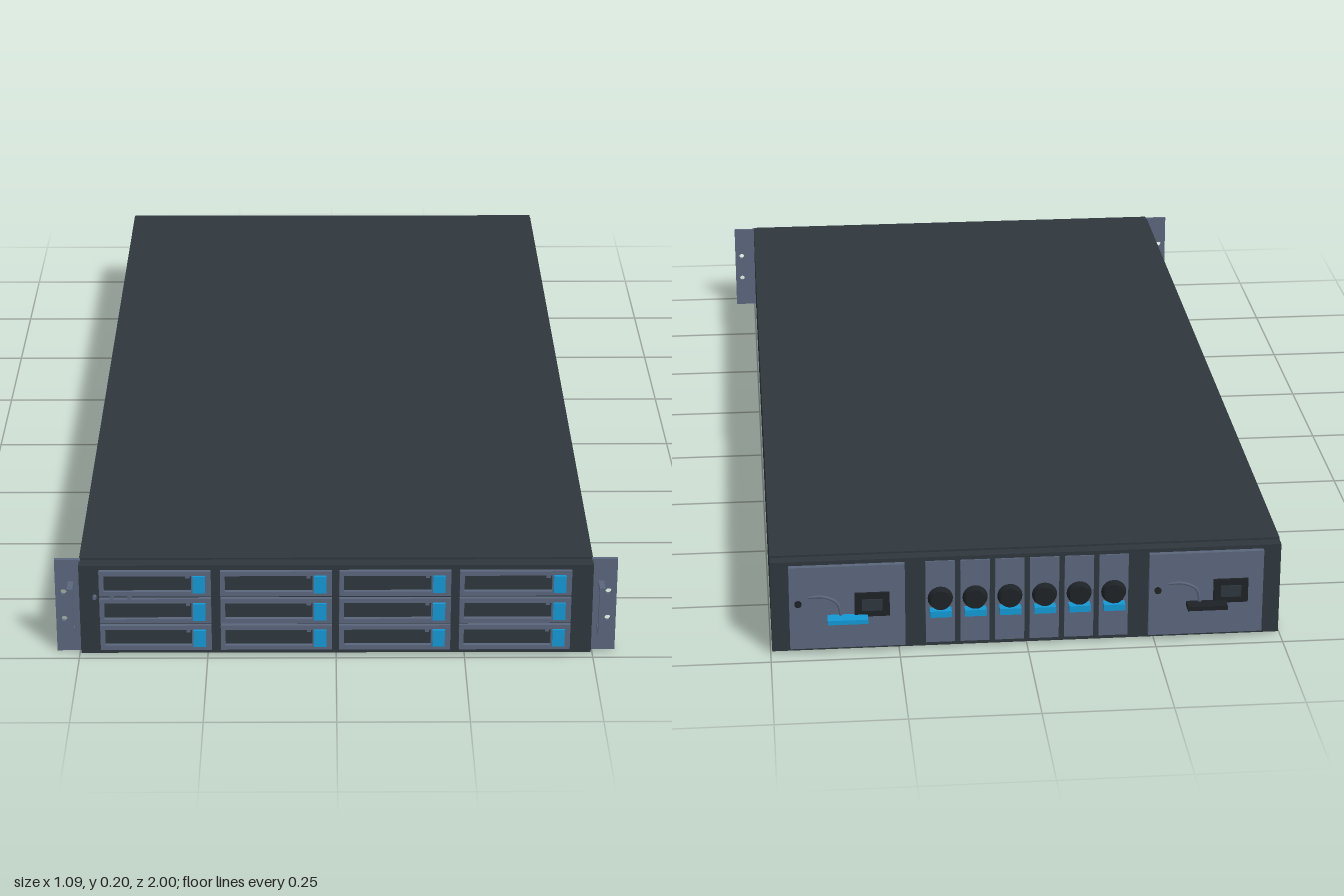
import * as THREE from 'three';

const mat = (name, color) => {
  const m = new THREE.MeshStandardMaterial({ color });
  m.name = name;
  return m;
};

export function createModel() {
  const dark = mat('charcoal steel', 0x2e373d);
  const grey = mat('slate grey', 0x5b667c);
  const blue = mat('latch blue', 0x1397d3);
  const black = mat('black plastic', 0x1d2226);

  const model = new THREE.Group();
  model.name = 'rackServer';

  const add = (parent, name, geometry, material, x = 0, y = 0, z = 0) => {
    const mesh = new THREE.Mesh(geometry, material);
    mesh.name = name;
    mesh.position.set(x, y, z);
    parent.add(mesh);
    return mesh;
  };
  const box = (parent, name, material, w, h, d, x, y, z) =>
    add(parent, name, new THREE.BoxGeometry(w, h, d), material, x, y, z);
  const group = (name, x, y, z) => {
    const g = new THREE.Group();
    g.name = name;
    g.position.set(x, y, z);
    model.add(g);
    return g;
  };
  const rect = (T, w, h) => new T([
    new THREE.Vector2(-w / 2, -h / 2), new THREE.Vector2(w / 2, -h / 2),
    new THREE.Vector2(w / 2, h / 2), new THREE.Vector2(-w / 2, h / 2)]);
  const extrude = (shape, depth) =>
    new THREE.ExtrudeGeometry(shape, { depth, bevelEnabled: false, curveSegments: 10 });

  // Case, with slightly lower front and rear faces
  box(model, 'chassis', dark, 0.994, 0.198, 1.90, 0, 0.099, 0.01);
  box(model, 'frontBezel', dark, 0.994, 0.19, 0.03, 0, 0.099, 0.97);
  box(model, 'rearPanel', dark, 0.994, 0.19, 0.025, 0, 0.099, -0.95);

  // Drive trays: four columns of three
  const frame = rect(THREE.Shape, 0.216, 0.053);
  const opening = new THREE.Path();
  opening.moveTo(-0.099, -0.017);
  opening.lineTo(-0.099, 0.017);
  opening.lineTo(0.070, 0.017);
  opening.lineTo(0.070, -0.017);
  opening.closePath();
  frame.holes.push(opening);
  const frameGeometry = extrude(frame, 0.008);
  for (const x of [-0.35, -0.116, 0.114, 0.347]) {
    for (const y of [0.158, 0.099, 0.041]) {
      const tray = group('driveTray', x, y, 0.985);
      add(tray, 'trayFrame', frameGeometry, grey);
      box(tray, 'trayLatch', blue, 0.024, 0.036, 0.013, 0.085, 0, 0.0065);
      box(tray, 'trayLight', grey, 0.008, 0.006, 0.004, 0.063, 0.013, 0.002);
    }
  }

  // Status lights on the bezel
  for (const x of [-0.467, -0.434, -0.4]) {
    const light = add(model, 'statusLight', new THREE.CylinderGeometry(0.004, 0.004, 0.009, 10),
      grey, x, 0.128, 0.989);
    light.rotation.x = Math.PI / 2;
  }

  // Rack ears with screw holes and pull handles
  for (const side of [-1, 1]) {
    const ear = group('rackEar', side * 0.52, 0.099, 0.96);
    const plate = rect(THREE.Shape, 0.05, 0.198);
    for (const y of [-0.029, 0.029]) {
      plate.holes.push(new THREE.Path().absarc(side * 0.009, y, 0.006, 0, Math.PI * 2, true));
    }
    add(ear, 'earPlate', extrude(plate, 0.007), grey);
    box(ear, 'handleGrip', grey, 0.011, 0.104, 0.009, -side * 0.006, 0, 0.0355);
    for (const y of [-0.0475, 0.0475]) {
      box(ear, 'handlePost', grey, 0.011, 0.009, 0.03, -side * 0.006, y, 0.018);
    }
  }

  // Power supplies at the rear
  const bail = new THREE.CatmullRomCurve3([
    new THREE.Vector3(0.075, 0.022, -0.008), new THREE.Vector3(0.045, 0.025, -0.014),
    new THREE.Vector3(0.02, 0.012, -0.015), new THREE.Vector3(0.012, -0.02, -0.013)]);
  const bailGeometry = new THREE.TubeGeometry(bail, 14, 0.003, 6);
  for (const [x, accent] of [[-0.35, black], [0.35, blue]]) {
    const supply = group('powerSupply', x, 0.099, -0.9625);
    box(supply, 'supplyPanel', grey, 0.224, 0.174, 0.012, 0, 0, -0.004);
    box(supply, 'powerInlet', black, 0.068, 0.05, 0.006, -0.048, 0.005, -0.0115);
    box(supply, 'inletCore', dark, 0.04, 0.024, 0.003, -0.048, 0.005, -0.0155);
    box(supply, 'pullTab', accent, 0.078, 0.009, 0.0275, 0, -0.02, -0.02375);
    add(supply, 'wireBail', bailGeometry, grey);
    const light = add(supply, 'supplyLight', new THREE.CylinderGeometry(0.007, 0.007, 0.004, 12),
      black, 0.095, 0.01, -0.011);
    light.rotation.x = Math.PI / 2;
  }

  // Six plug-in rear modules
  for (let i = 0; i < 6; i++) {
    const unit = group('rearModule', (i - 2.5) * 0.0677, 0.099, -0.9625);
    box(unit, 'modulePanel', grey, 0.057, 0.174, 0.004, 0, 0, -0.001);
    const knob = add(unit, 'moduleKnob', new THREE.CylinderGeometry(0.025, 0.02, 0.014, 20),
      black, 0, 0.008, -0.009);
    knob.rotation.x = Math.PI / 2;
    box(unit, 'moduleTab', blue, 0.042, 0.013, 0.02, 0, -0.018, -0.0125);
  }

  return model;
}
